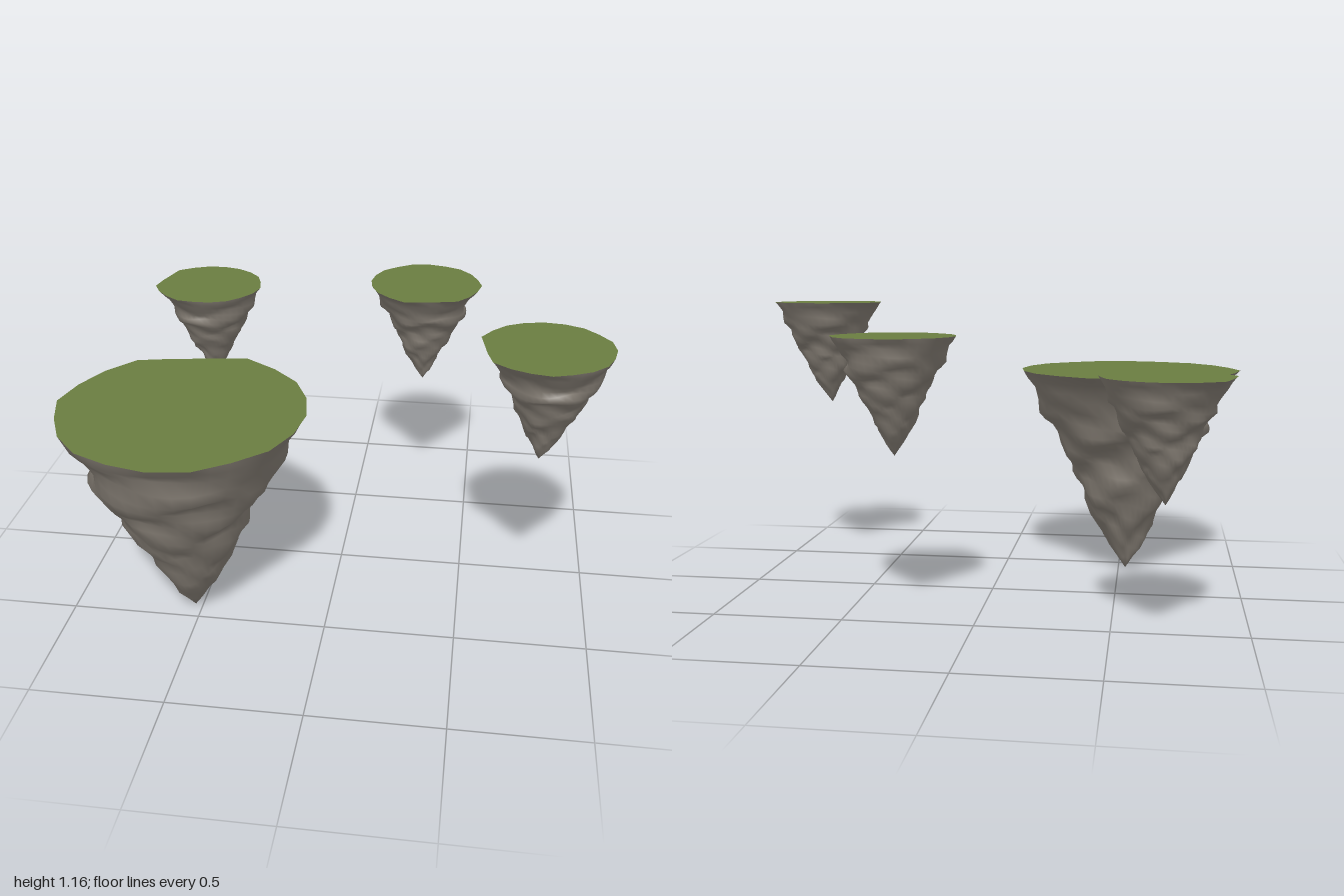
import * as THREE from 'three';

const rockMat = new THREE.MeshStandardMaterial({ color: 0x847d74 });
rockMat.name = 'rock grey';
const grassMat = new THREE.MeshStandardMaterial({ color: 0x6a7d40 });
grassMat.name = 'grass green';

// Rim radius every 18 degrees, from +x towards +z
const RIM = [0.46, 0.46, 0.466, 0.458, 0.474, 0.47, 0.46, 0.466, 0.458, 0.452,
  0.47, 0.46, 0.466, 0.48, 0.443, 0.44, 0.484, 0.466, 0.466, 0.46];
// Cliff radii by height on the four sides: +x, +z, -x, -z
const HEIGHTS = [0.875, 0.8, 0.7, 0.62, 0.55, 0.48, 0.4, 0.3, 0.2, 0.1, 0];
const SIDES = [
  [0.46, 0.41, 0.38, 0.32, 0.295, 0.24, 0.22, 0.18, 0.13, 0.07, 0],
  [0.475, 0.42, 0.4, 0.36, 0.32, 0.29, 0.25, 0.19, 0.15, 0.08, 0],
  [0.47, 0.4, 0.33, 0.355, 0.29, 0.26, 0.23, 0.16, 0.11, 0.07, 0],
  [0.44, 0.39, 0.33, 0.31, 0.25, 0.22, 0.2, 0.16, 0.1, 0.05, 0],
];
const COLS = 40, ROWS = 20, TAU = Math.PI * 2;

const rimPoint = (i) => {
  const at = (k) => {
    const a = (k / RIM.length) * TAU, r = RIM[k % RIM.length];
    return new THREE.Vector3(Math.cos(a) * r, HEIGHTS[0], Math.sin(a) * r);
  };
  const k = Math.floor(i / 2);
  return i % 2 ? at(k).lerp(at(k + 1), 0.5) : at(k);
};

// Point on the cliff: blend neighbouring side profiles, then add lumps
function cliffPoint(row, col) {
  if (row === 0) return rimPoint(col);
  const f = (row / ROWS) * (HEIGHTS.length - 1);
  const k = Math.min(Math.floor(f), HEIGHTS.length - 2), t = f - k;
  const y = THREE.MathUtils.lerp(HEIGHTS[k], HEIGHTS[k + 1], t);
  const q = (col / COLS) * 4, s = Math.floor(q);
  const side = (n) => THREE.MathUtils.lerp(SIDES[n % 4][k], SIDES[n % 4][k + 1], t);
  const base = THREE.MathUtils.lerp(side(s), side(s + 1), THREE.MathUtils.smoothstep(q - s, 0, 1));
  const a = (col / COLS) * TAU;
  const fade = Math.min(1, row / 4) * Math.min(1, (ROWS - row) / 5);
  const lump = Math.sin(3 * a + y * 31) * 0.5 + Math.sin(5 * a - y * 43 + 1) * 0.4
    + Math.sin(8 * a + y * 67 + 2) * 0.3;
  const r = base + fade * (lump * 0.014 - 0.004);
  const dy = fade * 0.014 * Math.sin(4 * a + y * 25);
  return new THREE.Vector3(Math.cos(a) * r, y + dy, Math.sin(a) * r);
}

function makeCliff() {
  const points = [], index = [];
  for (let r = 0; r < ROWS; r++) {
    for (let c = 0; c < COLS; c++) {
      points.push(cliffPoint(r, c));
      const n = (c + 1) % COLS, a = r * COLS + c, b = r * COLS + n;
      if (r < ROWS - 1) index.push(a, b, a + COLS, b, b + COLS, a + COLS);
      else index.push(a, b, ROWS * COLS);
    }
  }
  points.push(new THREE.Vector3(0, 0, 0));
  const g = new THREE.BufferGeometry().setFromPoints(points);
  g.setIndex(index);
  g.computeVertexNormals();
  return g;
}

function makeGrass() {
  const points = [new THREE.Vector3(0, HEIGHTS[0], 0)], index = [];
  for (let c = 0; c < COLS; c++) {
    points.push(rimPoint(c));
    index.push(0, ((c + 1) % COLS) + 1, c + 1);
  }
  const g = new THREE.BufferGeometry().setFromPoints(points);
  g.setIndex(index);
  g.computeVertexNormals();
  return g;
}

export function createModel() {
  const model = new THREE.Group();
  model.name = 'floatingIslands';
  const cliffGeo = makeCliff(), grassGeo = makeGrass();

  // One island shape, turned and scaled
  const addIsland = (name, x, y, z, scale, turn) => {
    const island = new THREE.Group();
    island.name = name;
    const cliff = new THREE.Mesh(cliffGeo, rockMat);
    cliff.name = 'rockCliff';
    const grass = new THREE.Mesh(grassGeo, grassMat);
    grass.name = 'grassTop';
    island.add(cliff, grass);
    island.position.set(x, y, z);
    island.scale.setScalar(scale);
    island.rotation.y = THREE.MathUtils.degToRad(turn);
    model.add(island);
  };
  addIsland('largeIsland', -0.53, 0, 0.42, 1, 0);
  addIsland('backRightIsland', -0.685, 0.507, -0.67, 0.497, 67);
  addIsland('backLeftIsland', 0.29, 0.625, -0.49, 0.497, 180);
  addIsland('frontLeftIsland', 0.765, 0.724, 0.35, 0.497, 92);
  return model;
}
